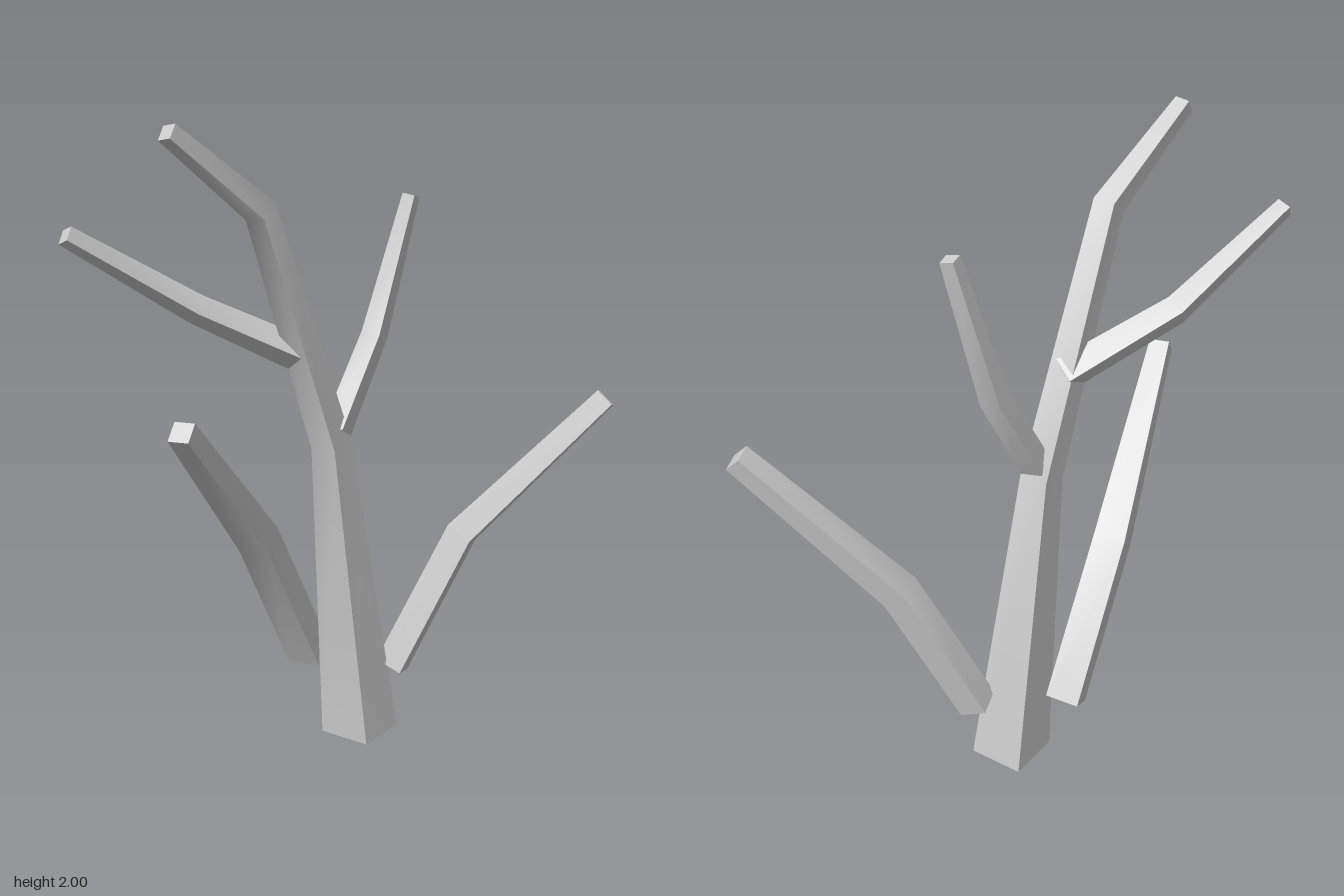
import * as THREE from 'three';
import { toCreasedNormals } from 'three/addons/utils/BufferGeometryUtils.js';

const material = new THREE.MeshStandardMaterial({ color: 0xcccccc });
const UP = new THREE.Vector3(0, 1, 0);

// Tapered square limb: nodes are [x, y, z, width]; twist turns the section about its axis
function limb(name, nodes, twist = 0, flatBase = false) {
  const points = nodes.map(([x, y, z]) => new THREE.Vector3(x, y, z));
  const last = points.length - 1;
  const heading = (i) => points[i + 1].clone().sub(points[i]).normalize();
  const positions = [];
  const index = [];

  // One square ring per node, mitred at the bends
  points.forEach((point, i) => {
    const tangent = heading(Math.min(i, last - 1));
    if (i > 0 && i < last) tangent.add(heading(i - 1)).normalize();
    if (i === 0 && flatBase) tangent.copy(UP);
    const tilt = new THREE.Quaternion().setFromUnitVectors(UP, tangent);
    const half = nodes[i][3] / 2;
    for (const [sx, sz] of [[1, 1], [1, -1], [-1, -1], [-1, 1]]) {
      const corner = new THREE.Vector3(sx * half, 0, sz * half)
        .applyAxisAngle(UP, twist).applyQuaternion(tilt).add(point);
      positions.push(corner.x, corner.y, corner.z);
    }
  });

  // Sides
  for (let i = 0; i < last; i++) {
    for (let j = 0; j < 4; j++) {
      const a = i * 4 + j, b = i * 4 + (j + 1) % 4;
      index.push(a, b, b + 4, a, b + 4, a + 4);
    }
  }
  // End caps
  const e = last * 4;
  index.push(0, 2, 1, 0, 3, 2, e, e + 1, e + 2, e, e + 2, e + 3);

  const geometry = new THREE.BufferGeometry();
  geometry.setAttribute('position', new THREE.Float32BufferAttribute(positions, 3));
  geometry.setIndex(index);
  const mesh = new THREE.Mesh(toCreasedNormals(geometry, 1.0), material);
  mesh.name = name;
  return mesh;
}

export function createModel() {
  const tree = new THREE.Group();
  tree.name = 'bareTree';
  tree.add(
    limb('trunk', [
      [0.16, 0, -0.11, 0.18], [0.067, 1.0, -0.155, 0.092],
      [-0.265, 1.752, -0.157, 0.07], [-0.588, 1.98, -0.211, 0.047],
    ], 0, true),
    limb('lowerLeftBranch', [
      [0.255, 0.215, -0.045, 0.092], [0.41, 0.67, 0.125, 0.09], [0.655, 1.13, 0.507, 0.064],
    ], 0.25),
    limb('lowerRightBranch', [
      [0.11, 0.25, -0.285, 0.105], [-0.145, 0.715, -0.285, 0.1], [-0.62, 1.172, -0.163, 0.064],
    ], 0.25),
    limb('upperLeftBranch', [
      [0.08, 1.045, -0.142, 0.07], [0.248, 1.33, -0.115, 0.064], [0.35, 1.767, -0.047, 0.042],
    ], 0.15),
    limb('upperRightBranch', [
      [-0.05, 1.295, -0.155, 0.08], [-0.315, 1.46, -0.37, 0.066], [-0.68, 1.697, -0.52, 0.045],
    ]),
  );
  return tree;
}
